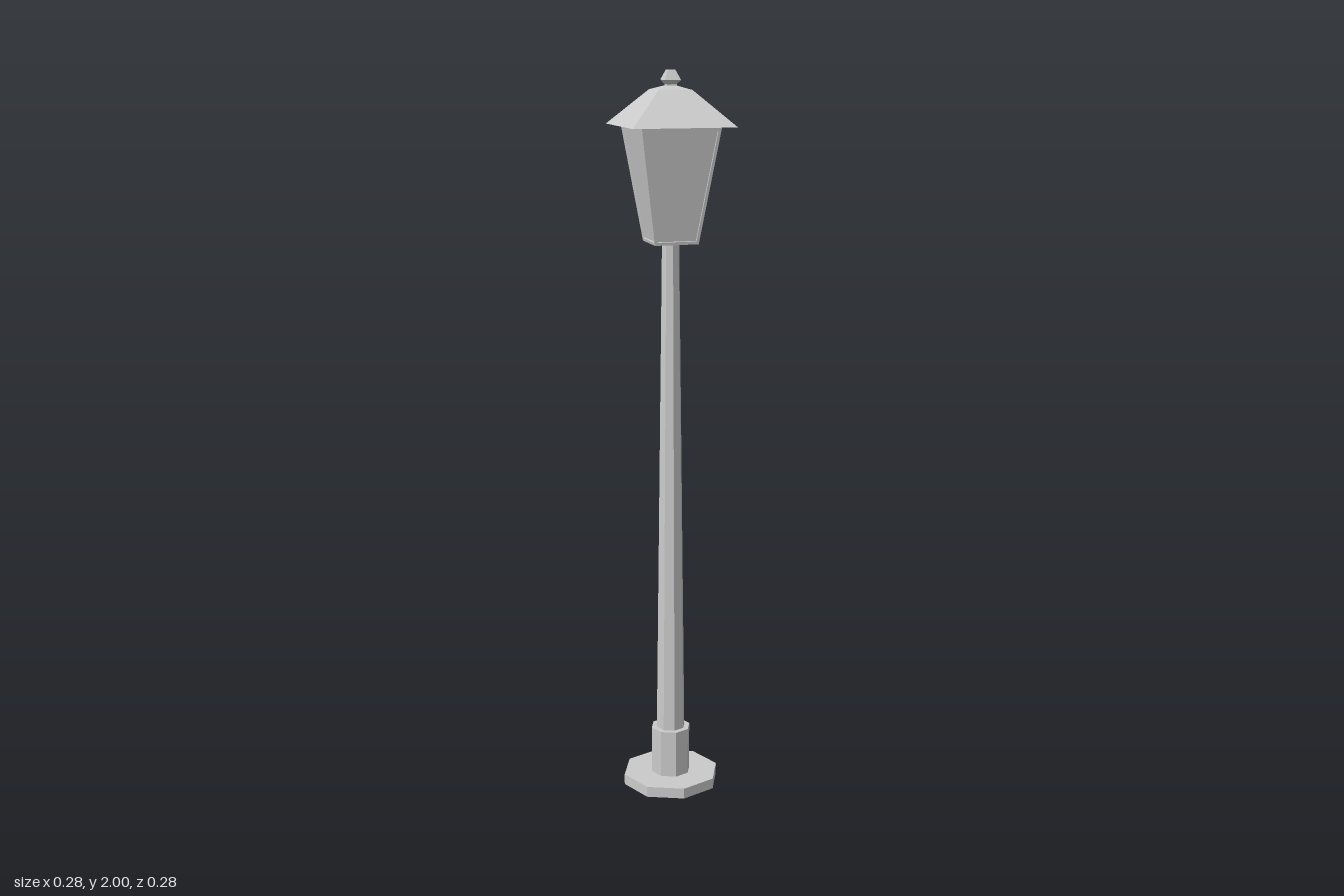
import * as THREE from 'three';

const material = new THREE.MeshStandardMaterial({ color: 0xcccccc, flatShading: true });

// Solid turned from [radius, y] points, bottom to top
function turned(name, points, sides) {
  const geometry = new THREE.LatheGeometry(points.map(([r, y]) => new THREE.Vector2(r, y)), sides);
  const mesh = new THREE.Mesh(geometry, material);
  mesh.name = name;
  return mesh;
}

// Square solid from [half width, y] points
function square(name, points) {
  const mesh = turned(name, points.map(([w, y]) => [w * Math.SQRT2, y]), 4);
  mesh.rotation.y = Math.PI / 4;
  return mesh;
}

function trapezoid(Path, bottom, top, y0, y1) {
  const path = new Path();
  path.moveTo(-bottom, y0);
  path.lineTo(bottom, y0);
  path.lineTo(top, y1);
  path.lineTo(-top, y1);
  path.closePath();
  return path;
}

export function createModel() {
  const model = new THREE.Group();
  model.name = 'streetLamp';

  // Octagonal foot, collar and tapering post
  model.add(turned('foot', [[0, 0], [0.137, 0], [0.137, 0.03], [0, 0.03]], 8));
  model.add(turned('collar', [[0.056, 0.03], [0.056, 0.165], [0, 0.165]], 8));
  model.add(turned('post', [[0.041, 0.16], [0.024, 1.555]], 8));

  // Lantern: floor, recessed panes and four leaning frames
  const lantern = new THREE.Group();
  lantern.name = 'lantern';
  const y0 = 1.55, y1 = 1.86, low = 0.06, high = 0.108;
  lantern.add(square('lanternFloor', [[0, y0], [low, y0], [low + 0.001, y0 + 0.008], [0, y0 + 0.008]]));
  lantern.add(square('panes', [[low - 0.005, y0 + 0.004], [high - 0.005, y1]]));

  const rise = y1 - y0, lean = high - low;
  const slant = Math.hypot(rise, lean);
  const halfAt = (y) => low + lean * y / slant;
  const bar = 0.008, sill = 0.008, head = slant - 0.015;
  const shape = trapezoid(THREE.Shape, low, high, 0, slant);
  shape.holes.push(trapezoid(THREE.Path, halfAt(sill) - bar, halfAt(head) - bar, sill, head));
  const frameGeometry = new THREE.ExtrudeGeometry(shape, { depth: 0.007, bevelEnabled: false });
  frameGeometry.translate(0, 0, -0.007);
  frameGeometry.rotateX(Math.atan2(lean, rise));
  frameGeometry.translate(0, y0, low);
  for (let i = 0; i < 4; i++) {
    const frame = new THREE.Mesh(frameGeometry, material);
    frame.name = 'paneFrame';
    frame.rotation.y = i * Math.PI / 2;
    lantern.add(frame);
  }
  model.add(lantern);

  // Hipped roof and finial
  model.add(square('roof', [[0, 1.857], [0.14, 1.857], [0.046, 1.949], [0.012, 1.96], [0, 1.96]]));
  model.add(square('finial', [[0.013, 1.955], [0.013, 1.963], [0.022, 1.974], [0.01, 2], [0, 2]]));

  return model;
}
